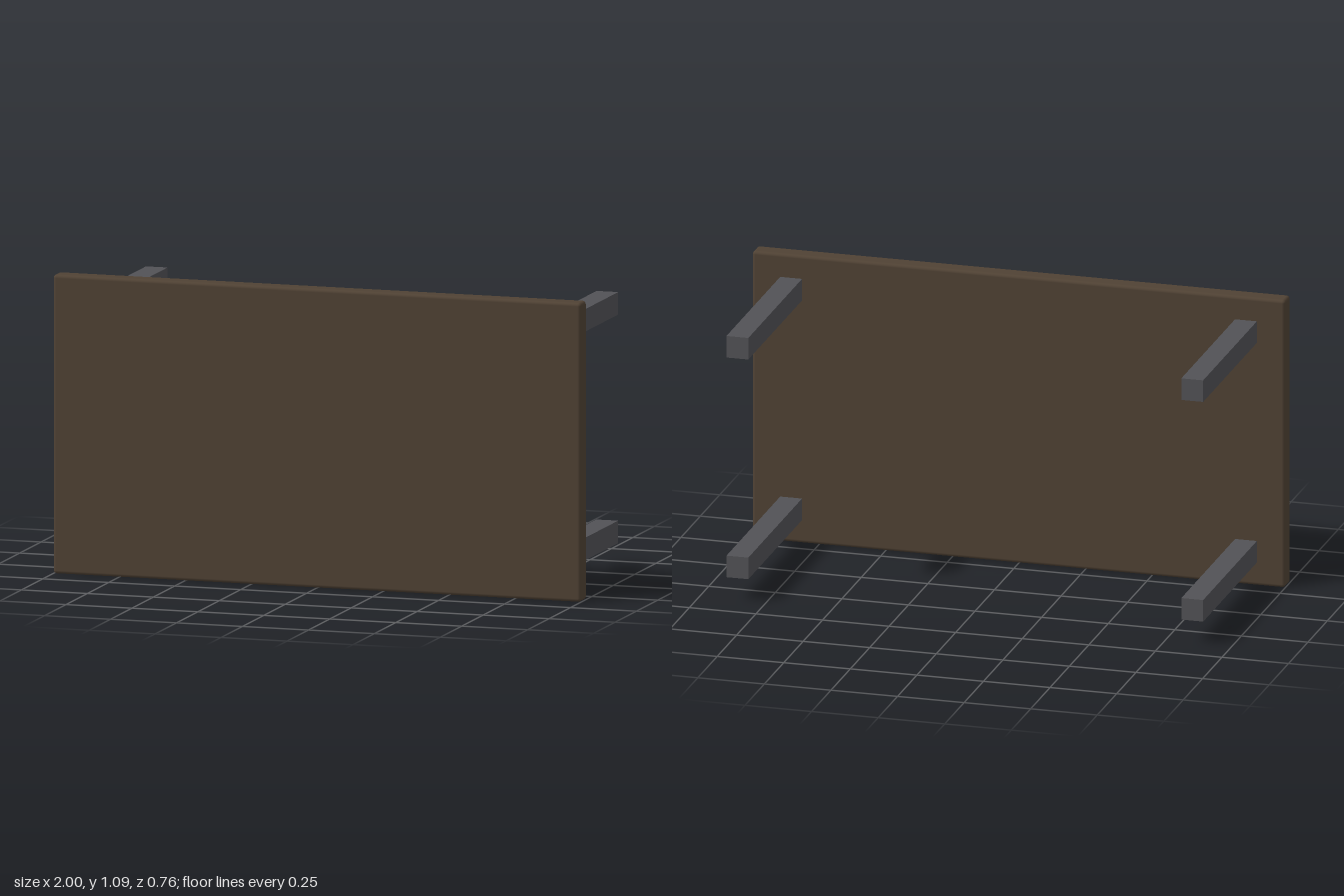
import * as THREE from 'three';
import { RoundedBoxGeometry } from 'three/addons/geometries/RoundedBoxGeometry.js';

const HEIGHT = 1.093;
const BACK = -0.382;        // free ends of the legs
const BOARD_BACK = 0.311;   // underside of the table top
const FRONT = 0.382;

export function createModel() {
  const group = new THREE.Group();
  group.name = 'table';
  const wood = new THREE.MeshStandardMaterial({ color: 0x504234 });
  const metal = new THREE.MeshStandardMaterial({ color: 0x525256 });

  // Table top, standing on its long edge, with softened edges
  const top = new THREE.Mesh(
    new RoundedBoxGeometry(2, HEIGHT, FRONT - BOARD_BACK, 3, 0.012), wood);
  top.name = 'tableTop';
  top.position.set(0, HEIGHT / 2, (FRONT + BOARD_BACK) / 2);
  group.add(top);

  // Four square legs pointing backwards
  const legGeometry = new THREE.BoxGeometry(0.082, 0.082, BOARD_BACK - BACK);
  for (const [side, x] of [['left', 0.854], ['right', -0.854]]) {
    for (const [level, dy] of [['Upper', 0.418], ['Lower', -0.418]]) {
      const leg = new THREE.Mesh(legGeometry, metal);
      leg.name = `${side}${level}Leg`;
      leg.position.set(x, HEIGHT / 2 + dy, (BOARD_BACK + BACK) / 2);
      group.add(leg);
    }
  }
  return group;
}
